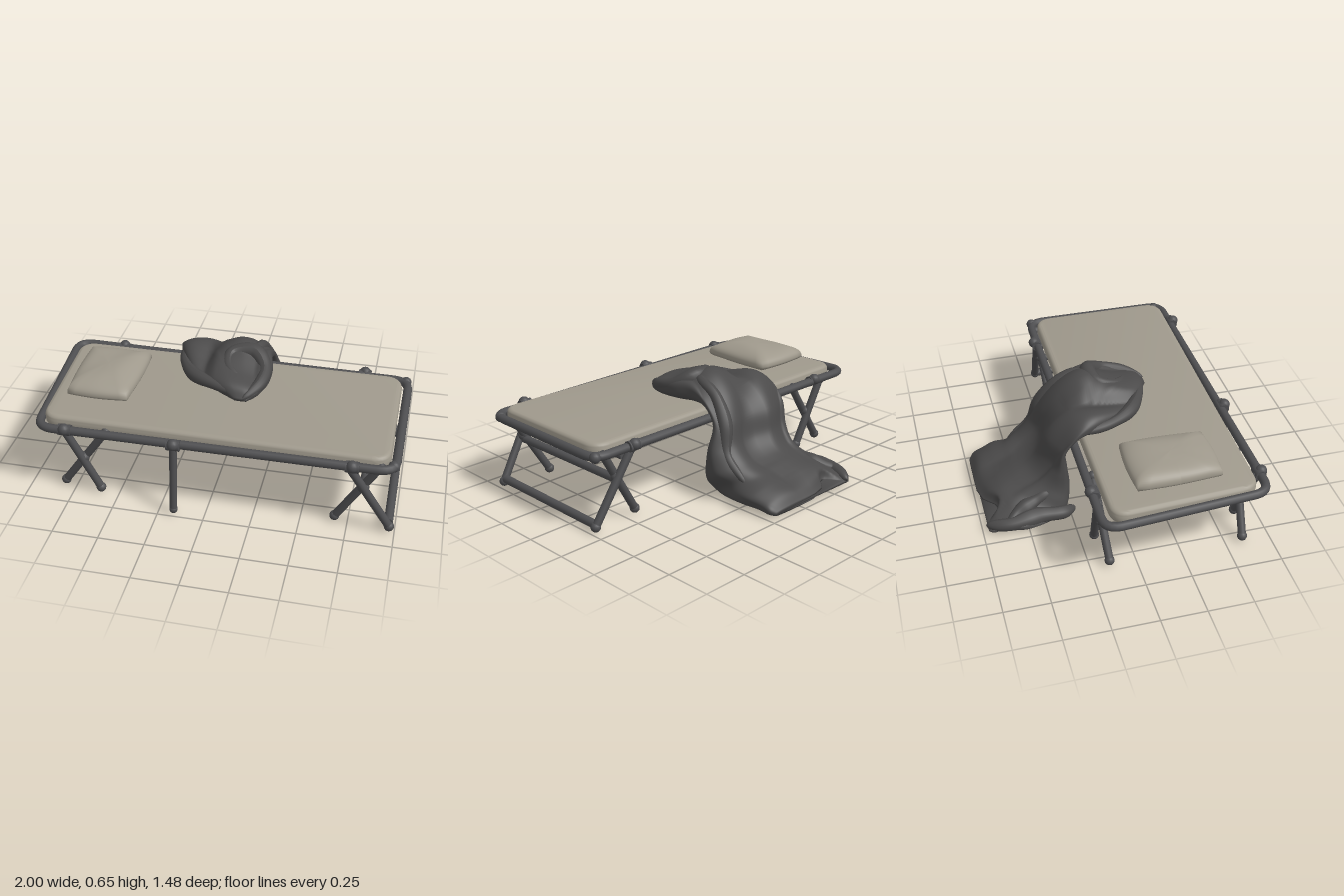
import * as THREE from 'three';
import { toCreasedNormals } from 'three/addons/utils/BufferGeometryUtils.js';

const V = (x, y, z) => new THREE.Vector3(x, y, z);
const smooth = THREE.MathUtils.smoothstep;
const material = (name, color) => Object.assign(new THREE.MeshStandardMaterial({ color }), { name });
const canvas = material('beige canvas', 0x9f998c);
const metal = material('dark metal', 0x4e4e50);
const wool = material('grey wool', 0x4b4a4a);

function add(parent, name, geometry, mat, position) {
  const mesh = new THREE.Mesh(geometry, mat);
  mesh.name = name;
  if (position) mesh.position.copy(position);
  parent.add(mesh);
  return mesh;
}

// Straight tube between two points
function rod(parent, name, a, b, r) {
  const mesh = add(parent, name, new THREE.CylinderGeometry(r, r, a.distanceTo(b), 14), metal,
    a.clone().add(b).multiplyScalar(0.5));
  mesh.quaternion.setFromUnitVectors(V(0, 1, 0), b.clone().sub(a).normalize());
}

function knob(parent, name, p, r = 0.032) {
  add(parent, name, new THREE.SphereGeometry(r, 14, 10), metal, p);
}

// Closed path with rounded corners
function roundedLoop(corners, r) {
  const path = new THREE.CurvePath();
  const n = corners.length;
  const toward = (p, q) => p.clone().add(q.clone().sub(p).setLength(r));
  corners.forEach((c, i) => {
    const prev = corners[(i + n - 1) % n], next = corners[(i + 1) % n];
    path.add(new THREE.QuadraticBezierCurve3(toward(c, prev), c, toward(c, next)));
    path.add(new THREE.LineCurve3(toward(c, next), toward(next, c)));
  });
  return path;
}

function buildFrame() {
  const frame = new THREE.Group();
  frame.name = 'frame';
  const rail = roundedLoop([V(-0.98, 0.425, -0.215), V(-0.915, 0.425, 0.675),
    V(0.975, 0.42, 0.665), V(0.98, 0.42, -0.195)], 0.09);
  add(frame, 'rail', new THREE.TubeGeometry(rail, 240, 0.024, 12, true), metal);

  // Crossed legs: [top x, foot x] pairs and the pivot at each end
  const ends = [
    { legs: [[-0.77, -0.6], [-0.55, -0.81]], pivot: V(-0.685, 0.225, 0) },
    { legs: [[0.74, 0.97], [0.9, 0.68]], pivot: V(0.82, 0.27, 0) }];
  const sides = [[0.655, 0.615, 1], [-0.2, -0.165, -1]];
  for (const { legs, pivot } of ends) {
    for (const [zTop, zFoot, s] of sides) {
      legs.forEach(([top, foot], k) => {
        const inset = k ? 0.03 * s : 0;
        const a = V(top, 0.41, zTop - inset), b = V(foot, 0.035, zFoot - inset + 0.01 * s);
        rod(frame, 'leg', a, b, 0.022);
        knob(frame, 'foot', b, 0.027);
        knob(frame, 'legJoint', a, 0.026);
      });
      knob(frame, 'pivot', pivot.clone().setZ((zTop + zFoot) / 2 - 0.01 * s), 0.032);
    }
  }

  // Cross bars at the left end
  rod(frame, 'lowerBar', V(0.965, 0.05, 0.615), V(0.965, 0.045, -0.165), 0.024);
  rod(frame, 'pivotBar', V(0.82, 0.25, 0.62), V(0.82, 0.255, -0.17), 0.023);
  rod(frame, 'upperBar', V(0.78, 0.365, 0.62), V(0.78, 0.37, -0.18), 0.018);

  // Middle support leg and rail clamps
  rod(frame, 'middleLeg', V(-0.165, 0.44, 0.69), V(-0.165, 0.035, 0.725), 0.02);
  knob(frame, 'middleFoot', V(-0.165, 0.035, 0.725), 0.023);
  const clamps = [[-0.165, 0.685], [-0.76, 0.672], [0.76, 0.675], [-0.7, -0.205], [0.73, -0.205]];
  for (const [x, z] of clamps) {
    rod(frame, 'clamp', V(x - 0.035, 0.425, z), V(x + 0.035, 0.425, z), 0.03);
    knob(frame, 'clampBolt', V(x, 0.435, z + 0.012 * Math.sign(z)), 0.032);
  }
  for (const z of [-0.185, 0.62]) knob(frame, 'endJoint', V(0.965, 0.42, z), 0.03);
  return frame;
}

// Flat padded bed with rounded corners
function mattressGeometry() {
  const loop = roundedLoop([V(-0.915, -0.14, 0), V(0.92, -0.14, 0), V(0.92, 0.615, 0), V(-0.88, 0.6, 0)], 0.07);
  const shape = new THREE.Shape(loop.getPoints(8).slice(0, -1).map(p => new THREE.Vector2(p.x, p.y)));
  const g = new THREE.ExtrudeGeometry(shape, { depth: 0.025, bevelThickness: 0.027, bevelSize: 0.027, bevelSegments: 5 });
  g.rotateX(Math.PI / 2);
  return toCreasedNormals(g, 0.7);
}

// Pillow: a sphere squared off in plan, with a plump profile and a few dents
function pillowGeometry() {
  const g = new THREE.SphereGeometry(1, 40, 28);
  const p = g.attributes.position;
  for (let i = 0; i < p.count; i++) {
    const x = p.getX(i), y = p.getY(i), z = p.getZ(i);
    const r = Math.hypot(x, z), m = Math.max(Math.abs(x), Math.abs(z)) || 1;
    const k = r > 1e-6 ? (r / m) ** 0.85 * r ** -0.2 : 0;
    const dent = 1 + 0.08 * Math.sin(4 * x + 3 * z) * (1 - r * r);
    const h = Math.sign(y) * Math.abs(y) ** 0.85 * dent;
    p.setXYZ(i, x * k * (0.182 - 0.008 * z), h * (y > 0 ? 0.072 : 0.045), z * k * 0.24);
  }
  g.computeVertexNormals();
  return g;
}

// Blanket stations: inner z, y, outer z, y, right edge x, left edge x
const stations = [
  [0.285, 0.475, 0.295, 0.49, 0.07, 0.14], [0.23, 0.47, 0.25, 0.54, -0.03, 0.19],
  [0.13, 0.47, 0.14, 0.575, -0.17, 0.23], [0.02, 0.47, 0.03, 0.61, -0.25, 0.235],
  [-0.1, 0.47, -0.08, 0.63, -0.31, 0.21], [-0.19, 0.46, -0.2, 0.565, -0.34, 0.21],
  [-0.245, 0.4, -0.315, 0.42, -0.345, 0.22], [-0.235, 0.25, -0.36, 0.29, -0.345, 0.27],
  [-0.22, 0.1, -0.43, 0.215, -0.35, 0.28], [-0.25, 0.005, -0.53, 0.17, -0.4, 0.25],
  [-0.48, 0.005, -0.62, 0.135, -0.46, 0.25], [-0.64, 0.005, -0.69, 0.1, -0.45, 0.25],
  [-0.71, 0.005, -0.735, 0.05, -0.41, 0.2]];

// Thick draped cloth lofted through the stations, with folds on its outer side
function blanketGeometry() {
  const curve = f => new THREE.CatmullRomCurve3(stations.map(f));
  const inner = curve(s => V(0, s[1], s[0]));
  const outer = curve(s => V(0, s[3], s[2]));
  const width = curve((s, i) => V(s[4], s[5], i * 0.1));
  const rows = 110, cols = 96, pos = [], index = [];
  const pow = (c, e) => Math.sign(c) * Math.abs(c) ** e;
  for (let i = 0; i <= rows; i++) {
    const v = i / rows;
    const a = inner.getPoint(v), b = outer.getPoint(v), w = width.getPoint(v);
    const dir = b.clone().sub(a).normalize();
    const onBed = 1 - smooth(v, 0.3, 0.5);
    const edge = 0.012 * Math.sin(v * 40) * smooth(v, 0.6, 0.8);
    const taper = Math.sin(Math.PI * Math.min(1, 0.06 + v * 0.94));
    for (let j = 0; j < cols; j++) {
      const th = j / cols * Math.PI * 2;
      const half = (w.y - w.x) / 2 + edge;
      const x = (w.x + w.y) / 2 + half * pow(Math.cos(th), 0.5);
      let t = 0.5 + 0.5 * pow(Math.sin(th), 0.7);
      t *= 1 - 0.4 * onBed * (1 - smooth(x, -0.16, -0.06));
      t *= 1 - 0.4 * (1 - smooth(x, -0.42, -0.28)) * (1 - onBed);
      // Long soft ridges with narrower valleys between
      const crease = Math.abs(Math.sin(11 * x + 0.9 * Math.sin(7 * v) + 0.6));
      const fold = (0.05 * crease - 0.032 + 0.006 * Math.sin(19 * v + 14 * x)) * Math.max(0, Math.sin(th)) * taper;
      const p = a.clone().lerp(b, t).addScaledVector(dir, fold);
      // Notch in the trailing hem
      const notch = 0.09 * Math.exp(-(((x + 0.27) / 0.07) ** 2)) * smooth(v, 0.8, 1);
      pos.push(x, Math.max(0.004, p.y), Math.max(-0.74, p.z + notch));
    }
  }
  for (let i = 0; i < rows; i++) for (let j = 0; j < cols; j++) {
    const k = (j + 1) % cols, p = i * cols, q = p + cols;
    index.push(p + j, q + j, p + k, p + k, q + j, q + k);
  }
  // End caps
  const last = rows * cols;
  for (let j = 1; j < cols - 1; j++) index.push(0, j, j + 1, last, last + j + 1, last + j);
  const g = new THREE.BufferGeometry();
  g.setAttribute('position', new THREE.Float32BufferAttribute(pos, 3));
  g.setIndex(index);
  g.computeVertexNormals();
  return g;
}

// Rolled cloth fold, tapering to points at its ends and resting on the floor
function foldGeometry(points, r) {
  const path = new THREE.CatmullRomCurve3(points.map(p => V(...p)));
  const rows = 48, sides = 14;
  const g = new THREE.TubeGeometry(path, rows, r, sides);
  const p = g.attributes.position;
  for (let i = 0; i < p.count; i++) {
    const u = Math.floor(i / (sides + 1)) / rows;
    const c = path.getPointAt(u);
    const k = Math.sin(Math.PI * u) ** 0.45 * (1 + 0.1 * Math.sin(u * 15)) || 0;
    const q = V(p.getX(i), p.getY(i), p.getZ(i)).sub(c).multiplyScalar(k).add(c);
    p.setXYZ(i, q.x, Math.max(0.004, q.y), q.z);
  }
  g.computeVertexNormals();
  return g;
}

export function createModel() {
  const model = new THREE.Group();
  model.name = 'campBed';
  model.add(buildFrame());
  add(model, 'mattress', mattressGeometry(), canvas, V(0, 0.441, 0));
  add(model, 'pillow', pillowGeometry(), canvas, V(-0.65, 0.51, 0.22));

  const blanket = new THREE.Group();
  blanket.name = 'blanket';
  add(blanket, 'drape', blanketGeometry(), wool);
  const folds = [
    // Hooked roll on the bed
    [[[0.12, 0.5, 0.3], [0.19, 0.53, 0.17], [0.195, 0.56, 0.05], [0.12, 0.605, -0.03], [0.0, 0.6, 0], [0.0, 0.57, 0.1], [0.1, 0.54, 0.19]], 0.043],
    // Front hem
    [[[-0.31, 0.505, -0.18], [-0.27, 0.51, 0], [-0.19, 0.515, 0.13], [-0.05, 0.52, 0.22], [0.12, 0.5, 0.27]], 0.036],
    // Ridge running down the drape
    [[[0.08, 0.6, 0], [0.13, 0.595, -0.1], [0.14, 0.54, -0.21], [0.16, 0.41, -0.3], [0.2, 0.25, -0.36], [0.2, 0.13, -0.5]], 0.04],
    // Folds heaped at the right edge of the hem
    [[[-0.35, 0.03, -0.22], [-0.395, 0.045, -0.3], [-0.4, 0.055, -0.44], [-0.43, 0.055, -0.6], [-0.39, 0.04, -0.73]], 0.048],
    [[[-0.32, 0.16, -0.34], [-0.34, 0.11, -0.45], [-0.38, 0.08, -0.55], [-0.45, 0.05, -0.62]], 0.04]];
  for (const [points, r] of folds) add(blanket, 'fold', foldGeometry(points, r), wool);
  model.add(blanket);
  return model;
}
